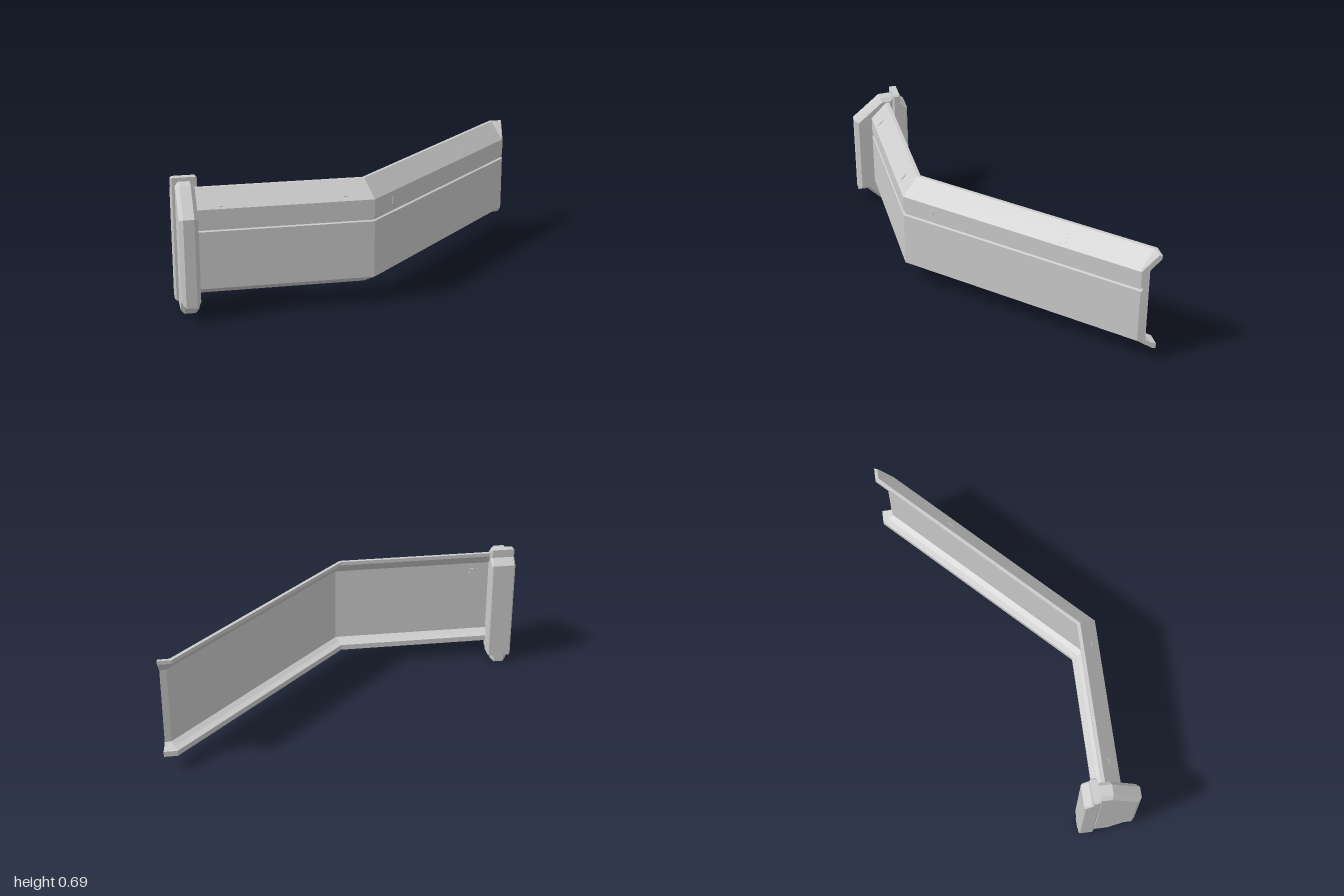
import * as THREE from 'three';

const mat = new THREE.MeshStandardMaterial({ color: 0xcccccc, flatShading: true, side: THREE.DoubleSide });

function add(parent, geometry, name) {
  const mesh = new THREE.Mesh(geometry, mat);
  mesh.name = name;
  parent.add(mesh);
  return mesh;
}

// Wall cross-section: [depth behind the front face, height]
const profile = [
  [0, 0.14], [0, 0.44], [0.012, 0.444], [0.012, 0.461], [0, 0.465], [0, 0.555],
  [0.088, 0.645], [0.106, 0.645], [0.106, 0.625], [0.085, 0.602], [0.045, 0.56],
  [0.045, 0.14], [0.075, 0.125], [0.106, 0.118], [0.106, 0.088], [0.09, 0.088],
];

// Skin the cross-section between stations; each maps a depth to [x, z]
function loftWall(stations) {
  const pos = [];
  const at = (s, i) => {
    const [d, y] = profile[i % profile.length];
    const [x, z] = stations[s](d);
    return [x, y, z];
  };
  for (let s = 0; s < stations.length - 1; s++) {
    for (let i = 0; i < profile.length; i++) {
      const a = at(s, i), b = at(s + 1, i), c = at(s + 1, i + 1), e = at(s, i + 1);
      pos.push(...a, ...b, ...c, ...a, ...c, ...e);
    }
  }
  const tris = THREE.ShapeUtils.triangulateShape(profile.map(p => new THREE.Vector2(...p)), []);
  for (const t of tris) {
    pos.push(...t.flatMap(i => at(0, i)));
    pos.push(...[...t].reverse().flatMap(i => at(stations.length - 1, i)));
  }
  const g = new THREE.BufferGeometry();
  g.setAttribute('position', new THREE.Float32BufferAttribute(pos, 3));
  g.computeVertexNormals();
  return g;
}

// Side outline [z, y] extruded along x between x0 and x1 with chamfered edges
function sidePlate(points, x0, x1, bevel) {
  const shape = new THREE.Shape(points.map(([z, y]) => new THREE.Vector2(-z, y)));
  const g = new THREE.ExtrudeGeometry(shape, {
    depth: x1 - x0 - 2 * bevel, bevelEnabled: true, bevelThickness: bevel,
    bevelSize: bevel, bevelOffset: -bevel, bevelSegments: 1,
  });
  g.rotateY(Math.PI / 2);
  g.translate(x0 + bevel, 0, 0);
  return g;
}

export function createModel() {
  const group = new THREE.Group();
  group.name = 'corneredWall';

  // Wall stations: post end, mitred corner, far end, end bracket
  const start = d => [-0.91, 0.487 - d];
  const corner = d => [0.01 - 0.4 * d, 0.487 - d];
  const far = d => [0.977 - 0.45 * d, -0.477 - 0.97 * d];
  const tip = d => [0.985 + 0.14 * d, -0.485 - 0.9 * d];
  add(group, loftWall([start, corner]), 'straightWall');
  add(group, loftWall([corner, far]), 'angledWall');
  add(group, loftWall([far, tip]), 'endBracket');

  // Post with sloped head and foot
  const post = new THREE.Group();
  post.name = 'post';
  group.add(post);
  add(post, sidePlate([
    [0.583, 0.08], [0.583, 0.54], [0.43, 0.667], [0.35, 0.67], [0.35, 0.09],
    [0.28, 0.09], [0.28, 0], [0.45, 0], [0.53, 0.08],
  ], -0.98, -0.885, 0.02), 'postBody');
  add(post, sidePlate([
    [0.36, 0.04], [0.36, 0.69], [0.32, 0.69], [0.32, 0.645], [0.28, 0.61], [0.28, 0.04],
  ], -1, -0.867, 0.008), 'postBackPlate');

  // Thin inset plates: x along the front face, height, width, plate height, angled wall?
  const plates = [
    [-0.77, 0.585, 0.03, 0.055, false],
    [-0.135, 0.587, 0.02, 0.035, false],
    [0.67, 0.585, 0.04, 0.055, true],
    [0.135, 0.505, 0.03, 0.035, true],
  ];
  for (const [x, y, w, h, angled] of plates) {
    const d = Math.max(0, (y - 0.555) * 0.978);
    const plate = add(group, new THREE.BoxGeometry(w, h, 0.006), 'insetPlate');
    plate.rotation.order = 'YXZ';
    plate.rotation.x = d > 0 ? -Math.PI / 4 : 0;
    if (angled) {
      plate.rotation.y = Math.PI / 4;
      plate.position.set(x - 0.707 * d, y, 0.497 - x - 0.707 * d);
    } else {
      plate.position.set(x, y, 0.487 - d);
    }
  }
  const back = add(group, new THREE.BoxGeometry(0.05, 0.05, 0.006), 'backPlate');
  back.position.set(-0.8, 0.5, 0.441);

  return group;
}
